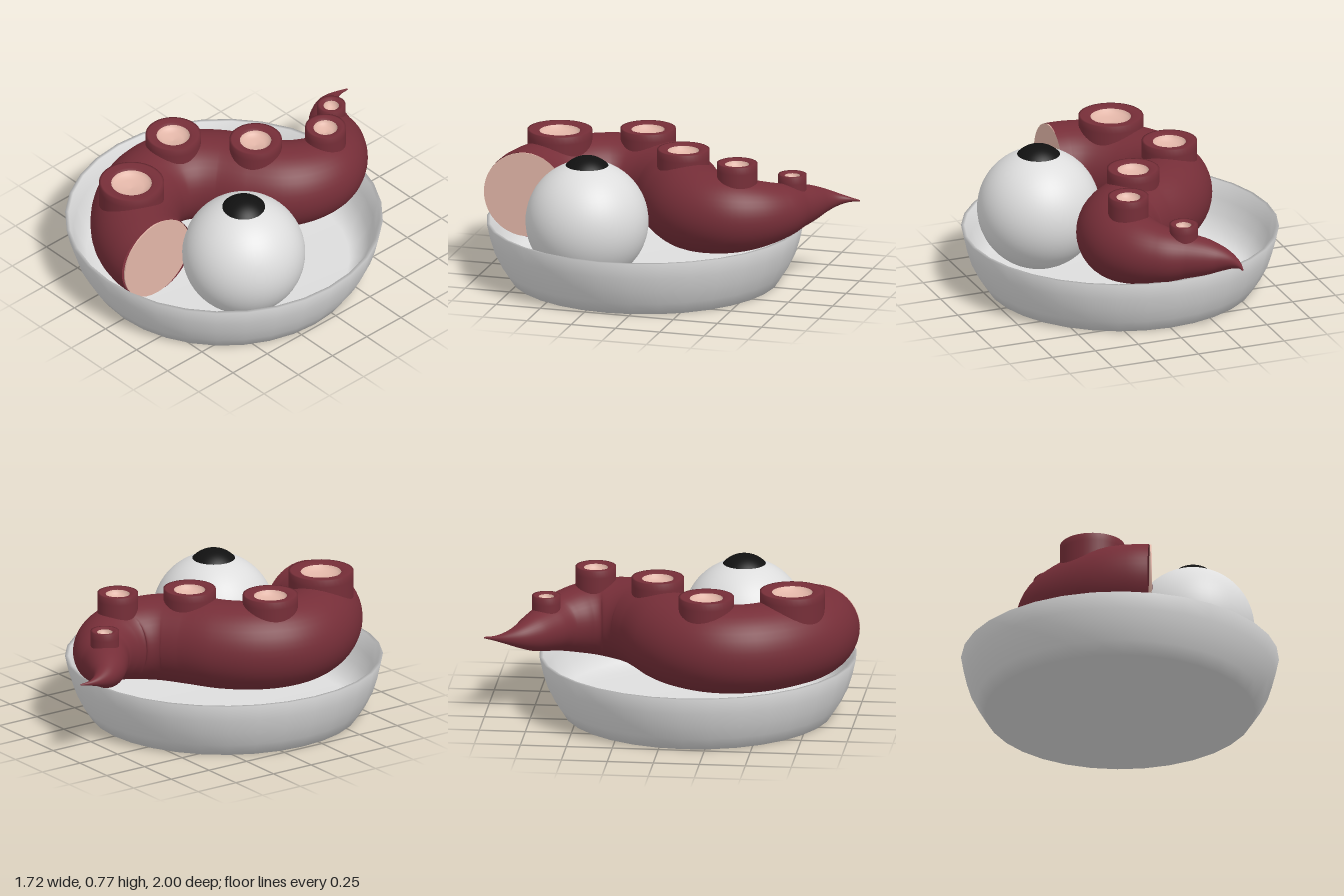
import * as THREE from 'three';
import { ParametricGeometry } from 'three/addons/geometries/ParametricGeometry.js';

const material = (name, color, side = THREE.FrontSide) => {
  const m = new THREE.MeshStandardMaterial({ color, side });
  m.name = name;
  return m;
};

const lathe = (points, segments) =>
  new THREE.LatheGeometry(points.map(([r, y]) => new THREE.Vector2(r, y)), segments);

// Centre line of the tentacle: x, radius, z
const PATH = [
  [0.15, 0.236, 0.765], [0.06, 0.238, 0.758], [-0.05, 0.24, 0.72], [-0.15, 0.24, 0.65],
  [-0.25, 0.24, 0.54], [-0.315, 0.24, 0.41], [-0.325, 0.24, 0.27], [-0.27, 0.24, 0.13],
  [-0.16, 0.24, 0.01], [0, 0.24, -0.085], [0.12, 0.235, -0.18], [0.18, 0.225, -0.29],
  [0.195, 0.21, -0.41], [0.15, 0.187, -0.53], [0.06, 0.155, -0.63], [-0.05, 0.126, -0.69],
  [-0.15, 0.098, -0.755], [-0.215, 0.065, -0.815], [-0.252, 0.034, -0.88],
  [-0.264, 0.014, -0.94], [-0.258, 0.004, -1],
].map((p) => new THREE.Vector3(...p));
const AXIS_Y = 0.45;

function tentacleGeometry() {
  const curve = new THREE.CatmullRomCurve3(PATH);
  return new ParametricGeometry((u, v, target) => {
    const p = curve.getPoint(u);
    const t = curve.getTangent(u).setY(0).normalize();
    const a = v * Math.PI * 2;
    const out = p.y * Math.cos(a);
    target.set(p.x - t.z * out, AXIS_Y + p.y * Math.sin(a), p.z + t.x * out);
  }, 120, 40);
}

export function createModel() {
  const white = material('white', 0xdddddd);
  const red = material('dark red', 0x762e38, THREE.DoubleSide);
  const pink = material('flesh pink', 0xe2b6a8, THREE.DoubleSide);
  const black = material('black', 0x111111);

  const model = new THREE.Group();
  const add = (name, geometry, mat, x, y, z, parent = model) => {
    const mesh = new THREE.Mesh(geometry, mat);
    mesh.name = name;
    mesh.position.set(x, y, z);
    parent.add(mesh);
    return mesh;
  };

  // Bowl, outside then inside
  add('bowl', lathe([
    [0, 0], [0.73, 0], [0.775, 0.07], [0.815, 0.15], [0.84, 0.23], [0.86, 0.32],
    [0.84, 0.32], [0.815, 0.23], [0.785, 0.15], [0.745, 0.08], [0.68, 0.04], [0, 0.04],
  ], 32), white, 0, 0, 0.135);

  // Eyeball with a bulging pupil
  add('eyeball', new THREE.SphereGeometry(0.333, 48, 32), white, 0.39, 0.405, 0.345);
  const bulge = 0.157;
  add('pupil', new THREE.SphereGeometry(bulge, 40, 10, 0, Math.PI * 2, 0, 0.83),
    black, 0.39, 0.77 - bulge, 0.345);

  // Tentacle and its cut end
  add('tentacle', tentacleGeometry(), red, 0, 0, 0);
  const cut = add('cutEnd', new THREE.CylinderGeometry(0.234, 0.234, 0.008, 40),
    pink, 0.151, AXIS_Y, 0.765);
  cut.rotation.z = -Math.PI / 2;

  // Suckers: x, z, top, outer radius, cup radius
  const suckers = [
    [-0.16, 0.665, 0.74, 0.176, 0.11], [-0.32, 0.215, 0.74, 0.15, 0.09],
    [0.012, -0.085, 0.74, 0.142, 0.085], [0.183, -0.44, 0.74, 0.11, 0.065],
    [-0.04, -0.685, 0.635, 0.077, 0.042],
  ];
  for (const [x, z, top, outer, cup] of suckers) {
    const sucker = new THREE.Group();
    sucker.name = 'sucker';
    sucker.position.set(x, top, z);
    model.add(sucker);
    add('suckerRim', lathe([[outer, -0.2], [outer, -0.04], [outer, 0], [outer - 0.012, 0],
      [cup + 0.015, 0], [cup, -0.008]], 40), red, 0, 0, 0, sucker);
    add('suckerCup', lathe([[cup, -0.008], [cup * 0.9, -0.025], [cup * 0.6, -0.038],
      [0, -0.045]], 40), pink, 0, 0, 0, sucker);
  }

  return model;
}
